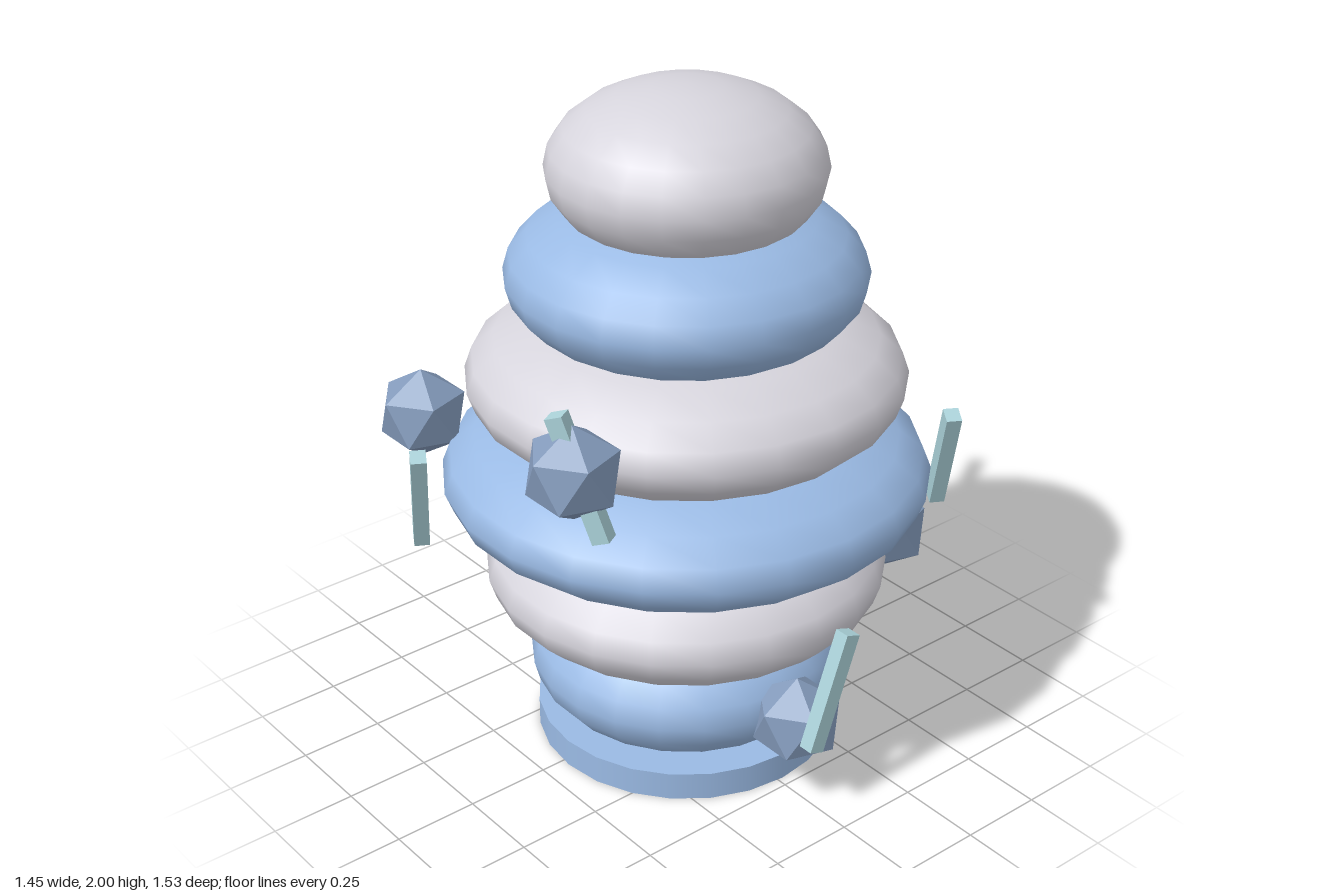
import * as THREE from 'three';

const material = (name, color, flatShading = false) => {
  const m = new THREE.MeshStandardMaterial({ color, flatShading });
  m.name = name;
  return m;
};

export function createModel() {
  const blue = material('soft blue', 0x9abae4);
  const grey = material('pale grey', 0xd6d4dc);
  const slate = material('slate blue', 0x859cbd, true);
  const aqua = material('pale aqua', 0xabd2d9, true);

  const model = new THREE.Group();
  model.name = 'stackedTower';

  const add = (name, geometry, mat, x, y, z, parent = model) => {
    const mesh = new THREE.Mesh(geometry, mat);
    mesh.name = name;
    mesh.position.set(x, y, z);
    parent.add(mesh);
    return mesh;
  };

  // Axis of the stack, slightly off centre because of the scattered crystals
  const cx = 0.027, cz = -0.017;

  // Base disc
  add('base', new THREE.CylinderGeometry(0.443, 0.443, 0.085, 24), blue, cx, 0.0425, cz);

  // Squashed spheres, alternating in colour from bottom to top
  const ball = new THREE.SphereGeometry(1, 22, 12);
  [0.46, 0.583, 0.698, 0.622, 0.505, 0.386].forEach((r, i) => {
    const layer = add(`layer${i + 1}`, ball, i % 2 ? grey : blue, cx, 0.248 + i * 0.304, cz);
    layer.scale.set(r, 0.232, r);
  });

  // Icosahedral crystals, each standing on a vertex
  const crystal = new THREE.IcosahedronGeometry(0.136, 0);
  crystal.rotateX(-Math.atan((1 + Math.sqrt(5)) / 2));
  [
    [0.525, 0.245, -0.012],
    [0.21, 0.49, -0.645],
    [-0.61, 0.732, -0.4],
    [-0.53, 0.97, 0.505],
    [0.38, 1.22, 0.645],
  ].forEach((p, i) => add(`crystal${i + 1}`, crystal, slate, ...p));

  // Floating bars around the stack at three heights, leaning alternately
  const bar = new THREE.BoxGeometry(0.045, 0.36, 0.05);
  for (let i = 0; i < 6; i++) {
    const arm = new THREE.Group();
    arm.name = `barGroup${i + 1}`;
    arm.position.set(cx, 0, cz);
    arm.rotation.y = (i * Math.PI) / 3;
    const level = i % 3;
    const mesh = add('bar', bar, aqua, level ? 0.762 : 0.625, 0.405 * (level + 1), 0, arm);
    mesh.rotation.x = i % 2 ? 0.35 : -0.35;
    model.add(arm);
  }

  return model;
}
